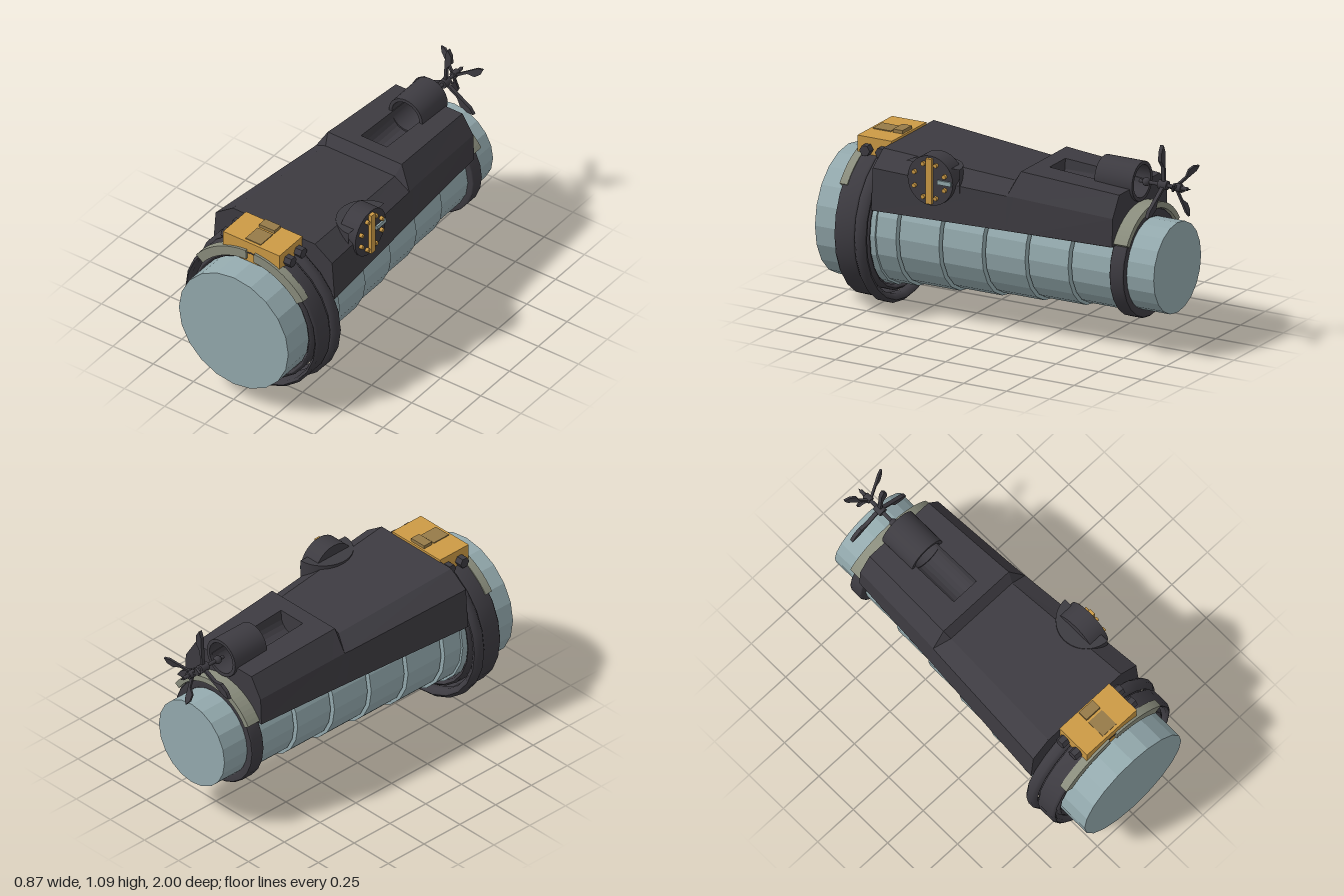
import * as THREE from 'three';

const CY = 0.435; // height of the barrel axis

const paint = (name, color) => {
  const m = new THREE.MeshStandardMaterial({ color });
  m.name = name;
  return m;
};

// split every face so it is shaded flat
const facet = (geo) => {
  const g = geo.index ? geo.toNonIndexed() : geo;
  g.computeVertexNormals();
  return g;
};

// cylinder along z between two depths
const rod = (r, z0, z1, sides) =>
  new THREE.CylinderGeometry(r, r, Math.abs(z1 - z0), sides).rotateX(Math.PI / 2).translate(0, 0, (z0 + z1) / 2);

// closed ring around z with bevelled edges
function ringGeo(ri, ro, z0, z1, b, sides = 24) {
  const pts = [[ro - b, z0], [ro, z0 + b], [ro, z1 - b], [ro - b, z1],
    [ri + b, z1], [ri, z1 - b], [ri, z0 + b], [ri + b, z0], [ro - b, z0]];
  return new THREE.LatheGeometry(pts.map((p) => new THREE.Vector2(...p)), sides).rotateX(Math.PI / 2);
}

// flat curved band, angles in degrees
function arcBand(ri, ro, a0, a1, z0, z1) {
  const a = THREE.MathUtils.degToRad(a0), b = THREE.MathUtils.degToRad(a1);
  const s = new THREE.Shape();
  s.absarc(0, 0, ro, a, b, false);
  s.absarc(0, 0, ri, b, a, true);
  return new THREE.ExtrudeGeometry(s, { depth: z1 - z0, bevelEnabled: false, curveSegments: 12 }).translate(0, 0, z0);
}

// one section of the saddle: half widths, heights and optional channel
function section([z, wb, wc, yc, wt, yt, channel]) {
  const half = [[wb, 0.59], [wc, yc], [wt, yt]];
  const mid = [];
  for (let i = 0; i <= 10; i++) {
    const x = 0.08 * Math.cos((i / 10) * Math.PI);
    mid.push([x, channel && i > 0 && i < 10 ? 0.85 - Math.sqrt(0.0064 - x * x) : yt]);
  }
  const left = half.map(([x, y]) => [-x, y]).reverse();
  return [...half, ...mid, ...left].map(([x, y]) => new THREE.Vector3(x, y, z));
}

function loft(rings) {
  const pos = [];
  const tri = (...v) => v.forEach((p) => pos.push(p.x, p.y, p.z));
  const n = rings[0].length;
  for (let k = 0; k < rings.length - 1; k++) {
    for (let i = 0; i < n; i++) {
      const j = (i + 1) % n, A = rings[k], B = rings[k + 1];
      tri(A[i], B[i], B[j]);
      tri(A[i], B[j], A[j]);
    }
  }
  const cap = (r, flip) => {
    const flat = r.map((p) => new THREE.Vector2(p.x, p.y));
    for (const [a, b, c] of THREE.ShapeUtils.triangulateShape(flat, [])) {
      if (flip) tri(r[a], r[c], r[b]);
      else tri(r[a], r[b], r[c]);
    }
  };
  cap(rings[0], false);
  cap(rings[rings.length - 1], true);
  const g = new THREE.BufferGeometry();
  g.setAttribute('position', new THREE.Float32BufferAttribute(pos, 3));
  g.computeVertexNormals();
  return g;
}

export function createModel() {
  const model = new THREE.Group();
  const steel = paint('pale blue steel', 0x94aaae);
  const dark = paint('charcoal', 0x3d3b41);
  const brass = paint('amber', 0xcc9a45);
  const bronze = paint('bronze', 0x967a48);
  const olive = paint('olive grey', 0x8a8d7d);
  const add = (name, geo, mat, x = 0, y = 0, z = 0, parent = model) => {
    const m = new THREE.Mesh(geo, mat);
    m.name = name;
    m.position.set(x, y, z);
    parent.add(m);
    return m;
  };

  // barrel: front drum, stepped sections with narrow gaps, rear drum
  add('frontDrum', facet(rod(0.34, 0.65, 1, 20)), steel, 0, CY + 0.004);
  add('barrelSection', facet(rod(0.328, 0.535, 0.65, 20)), steel, 0, CY + 0.004);
  for (let i = 0; i < 5; i++) {
    const z = 0.523 - i * 0.243;
    add('barrelSection', facet(rod(0.314 - i * 0.0148, z - 0.231, z, 20)), steel, 0, CY + 0.004);
  }
  add('rearDrum', facet(rod(0.24, -0.92, -0.68, 20)), steel, 0, CY + 0.004);

  // clamp rings
  add('wideClampRing', ringGeo(0.388, 0.415, 0.728, 0.85, 0.012), dark, 0, CY);
  add('outerClampRing', ringGeo(0.388, 0.435, 0.658, 0.726, 0.018), dark, 0, CY);
  add('innerClampRing', ringGeo(0.343, 0.37, 0.67, 0.84, 0.011), dark, 0, CY);
  add('rearClampRing', ringGeo(0.238, 0.285, -0.765, -0.685, 0.006), dark, 0, CY + 0.004);

  // olive pads
  add('leftFrontPad', arcBand(0.365, 0.418, 37, 86.5, 0.815, 0.86), olive, 0, CY);
  add('rightFrontPad', arcBand(0.365, 0.418, 93.5, 143, 0.815, 0.86), olive, 0, CY);
  add('rearPad', arcBand(0.284, 0.315, 32, 148, -0.78, -0.69), olive, 0, CY + 0.004);

  // saddle body: z, bottom, shoulder x/y, top x/y, channel
  add('saddle', loft([
    [0.65, 0.378, 0.362, 0.812, 0.255, 0.888],
    [-0.1, 0.32, 0.306, 0.77, 0.215, 0.83],
    [-0.14, 0.317, 0.302, 0.77, 0.23, 0.887],
    [-0.22, 0.311, 0.297, 0.765, 0.226, 0.881],
    [-0.22, 0.311, 0.297, 0.765, 0.226, 0.881, true],
    [-0.7, 0.28, 0.274, 0.74, 0.207, 0.848, true],
  ].map(section)), dark);

  // liner strips below the saddle
  for (const s of [1, -1]) {
    const strip = new THREE.Shape([[0.29, 0.64], [0.345, 0.64], [0.262, -0.69], [0.22, -0.69]]
      .map(([x, z]) => new THREE.Vector2(s * x, z)));
    add('linerStrip', new THREE.ExtrudeGeometry(strip, { depth: 0.008, bevelEnabled: false }).rotateX(Math.PI / 2), olive, 0, 0.59);
  }

  // amber clamp block with top plates and side bolts
  add('clampBlock', new THREE.BoxGeometry(0.35, 0.12, 0.2), brass, 0, 0.84, 0.747);
  add('blockLatch', new THREE.BoxGeometry(0.095, 0.03, 0.055), bronze, 0, 0.903, 0.685);
  add('blockPlate', new THREE.BoxGeometry(0.095, 0.006, 0.105), bronze, 0, 0.902, 0.778);
  for (const s of [1, -1]) {
    for (const z of [0.783, 0.692]) {
      add('sideBolt', facet(new THREE.CylinderGeometry(0.03, 0.03, 0.045, 6).rotateZ(Math.PI / 2)), dark, s * 0.193, 0.838, z);
    }
  }

  // round side port
  const port = new THREE.Group();
  port.name = 'sidePort';
  port.position.set(0, 0.8, 0.315);
  model.add(port);
  add('portDrum', new THREE.CylinderGeometry(0.132, 0.132, 0.105, 28).rotateZ(Math.PI / 2), dark, 0.308, 0, 0, port);
  add('portFairing', new THREE.CylinderGeometry(0.155, 0.155, 0.125, 24, 1, false, Math.PI, Math.PI), dark, 0.335, 0.012, 0, port);
  add('portBar', new THREE.BoxGeometry(0.02, 0.24, 0.034), brass, 0.369, 0, 0, port);
  add('portHandle', new THREE.BoxGeometry(0.012, 0.022, 0.08), steel, 0.364, 0, -0.085, port);
  for (let i = 0; i < 8; i++) {
    const a = ((i + 0.5) / 8) * Math.PI * 2;
    add('portStud', new THREE.CylinderGeometry(0.012, 0.012, 0.02, 6).rotateZ(Math.PI / 2), brass,
      0.368, Math.cos(a) * 0.095, Math.sin(a) * 0.095, port);
  }

  // open motor sleeve at the end of the channel
  add('motorSleeve', ringGeo(0.085, 0.105, -0.715, -0.495, 0.001, 28), dark, 0, 0.865);

  // propeller shaft
  const drive = new THREE.Group();
  drive.name = 'propellerDrive';
  drive.position.set(0, 0.867, 0);
  model.add(drive);
  add('shaft', rod(0.01, -0.98, -0.7, 10), dark, 0, 0, 0, drive);
  add('shaftTip', new THREE.ConeGeometry(0.012, 0.05, 10).rotateX(-Math.PI / 2), dark, 0, 0, -0.975, drive);
  add('shaftJoint', new THREE.SphereGeometry(0.022, 12, 8), dark, 0, 0, -0.74, drive);
  add('frontHub', rod(0.024, -0.865, -0.815, 12), dark, 0, 0, 0, drive);
  add('rearHub', rod(0.02, -0.945, -0.905, 12), dark, 0, 0, 0, drive);

  // two three-bladed propellers, the rear one swept back
  const outline = [[-0.006, 0], [0.008, 0], [0.014, 0.45], [0.042, 0.62], [0.04, 0.84], [0.02, 1], [0.004, 0.84], [0.002, 0.6]];
  const propeller = (name, z, length, turn, sweep, thick) => {
    const geo = new THREE.ExtrudeGeometry(
      new THREE.Shape(outline.map(([x, y]) => new THREE.Vector2(x, y * length))),
      { depth: thick, bevelEnabled: false }).translate(0, 0, -thick / 2).rotateX(-sweep);
    for (let i = 0; i < 3; i++) {
      add(name, geo, dark, 0, 0, z, drive).rotation.z = turn + (i * Math.PI * 2) / 3;
    }
  };
  propeller('frontBlade', -0.842, 0.218, 0, 0, 0.02);
  propeller('rearBlade', -0.91, 0.165, Math.PI, 0.42, 0.012);

  return model;
}
